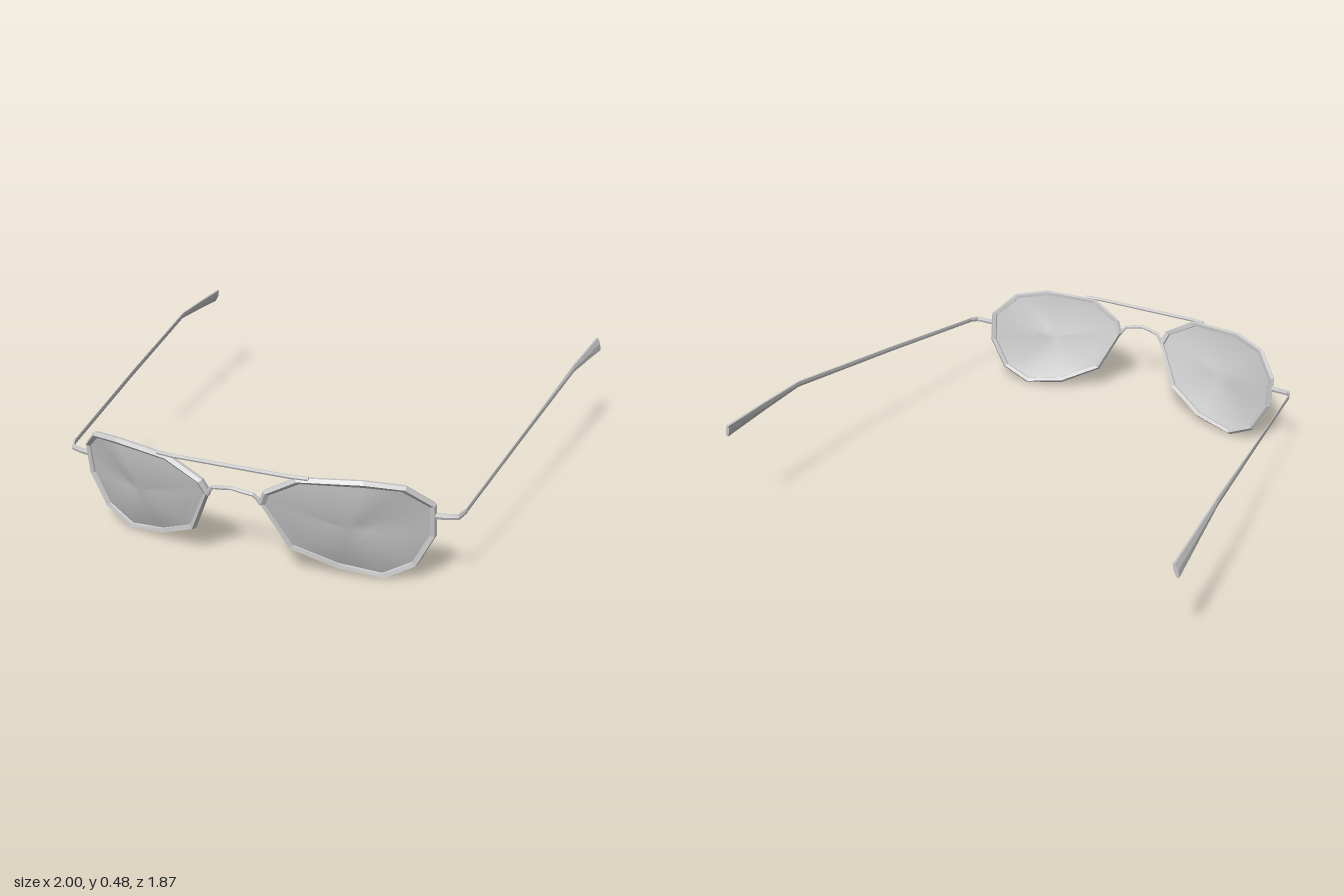
import * as THREE from 'three';

const V = (x, y, z) => new THREE.Vector3(x, y, z);

function material(flat) {
  return new THREE.MeshStandardMaterial({
    color: 0xcccccc, flatShading: flat, side: THREE.DoubleSide, roughness: 0.6,
  });
}

// Mesh from points and triangles; side = -1 mirrors it across x = 0.
function build(name, points, tris, side, flat) {
  const pos = points.flatMap((p) => [p.x * side, p.y, p.z]);
  const index = tris.flatMap(([a, b, c]) => (side > 0 ? [a, b, c] : [a, c, b]));
  let geo = new THREE.BufferGeometry();
  geo.setAttribute('position', new THREE.Float32BufferAttribute(pos, 3));
  geo.setIndex(index);
  if (flat) geo = geo.toNonIndexed();
  geo.computeVertexNormals();
  const mesh = new THREE.Mesh(geo, material(flat));
  mesh.name = name;
  return mesh;
}

// Skin a row of equal cross-sections, either as a closed ring or with capped ends.
function loft(name, sections, closed, side = 1) {
  const m = sections[0].length, n = sections.length, tris = [];
  for (let i = 0; i < (closed ? n : n - 1); i++) {
    const j = (i + 1) % n;
    for (let k = 0; k < m; k++) {
      const l = (k + 1) % m;
      tris.push([i * m + k, i * m + l, j * m + l], [i * m + k, j * m + l, j * m + k]);
    }
  }
  if (!closed) {
    const e = (n - 1) * m;
    for (let k = 1; k < m - 1; k++) tris.push([0, k + 1, k], [e, e + k, e + k + 1]);
  }
  return build(name, sections.flat(), tris, side, true);
}

// Six-sided wire; each stop is [x, y, z, width, height, tilt].
function wire(name, stops, side = 1) {
  const pts = stops.map((s) => V(s[0], s[1], s[2]));
  const sections = stops.map(([, , , w, h, tilt = 0], i) => {
    const a = pts[Math.max(i - 1, 0)], b = pts[Math.min(i + 1, pts.length - 1)];
    const t = b.clone().sub(a).normalize();
    const across = t.clone().cross(V(-tilt, 1, 0)).normalize();
    const up = across.clone().cross(t);
    return Array.from({ length: 6 }, (_, k) => {
      const ang = -k * Math.PI / 3;
      return pts[i].clone()
        .addScaledVector(across, Math.cos(ang) * w / 2)
        .addScaledVector(up, Math.sin(ang) * h / 2 / Math.sin(Math.PI / 3));
    });
  });
  return loft(name, sections, false, side);
}

// Rim corners, counter-clockwise seen from the front
const RIM = [
  [0.74, 0.35, 0.73], [0.65, 0.44, 0.81], [0.51, 0.465, 0.875], [0.26, 0.452, 0.92],
  [0.125, 0.37, 0.91], [0.102, 0.315, 0.895], [0.195, 0.12, 0.845], [0.37, 0.032, 0.775],
  [0.55, 0.006, 0.735], [0.67, 0.075, 0.715], [0.74, 0.215, 0.712],
].map((p) => V(...p));
const CENTRE = V(0.43, 0.25, 0.815);
const FACING = V(0.27, -0.33, 1).normalize();

function rim(side) {
  // [outward, forward] offsets of the bevelled rim section
  const profile = [[-0.009, 0.015], [0, 0], [-0.009, -0.015], [-0.026, -0.009], [-0.026, 0.009]];
  const sections = RIM.map((p) => {
    const out = p.clone().sub(CENTRE).normalize();
    return profile.map(([o, d]) => p.clone().addScaledVector(out, o).addScaledVector(FACING, d));
  });
  return loft('rim', sections, true, side);
}

// Gently domed lens made of concentric rings
function lens(side) {
  const rings = 5, n = RIM.length, dome = 0.03;
  const pts = [CENTRE.clone().addScaledVector(FACING, dome)], tris = [];
  for (let r = 1; r <= rings; r++) {
    const t = r / rings;
    for (let i = 0; i < n; i++) {
      pts.push(CENTRE.clone().lerp(RIM[i], t * 0.95).addScaledVector(FACING, dome * (1 - t * t)));
      const j = (i + 1) % n, a = 1 + (r - 1) * n;
      if (r === 1) tris.push([0, 1 + i, 1 + j]);
      else tris.push([a - n + i, a + i, a + j], [a - n + i, a + j, a - n + j]);
    }
  }
  return build('lens', pts, tris, side, false);
}

export function createModel() {
  const model = new THREE.Group();
  model.name = 'sunglasses';

  for (const side of [1, -1]) {
    const half = new THREE.Group();
    half.name = side > 0 ? 'leftHalf' : 'rightHalf';
    half.add(rim(side), lens(side));
    // Hinge arm turning from the rim to the temple
    half.add(wire('hinge', [
      [0.725, 0.3, 0.728, 0.018, 0.024], [0.77, 0.301, 0.724, 0.016, 0.022],
      [0.818, 0.305, 0.714, 0.016, 0.022], [0.836, 0.313, 0.67, 0.008, 0.022],
    ], side));
    // Temple with a widening, drooping tip
    half.add(wire('temple', [
      [0.832, 0.309, 0.69, 0.006, 0.02], [0.9, 0.394, 0.08, 0.006, 0.022],
      [0.962, 0.472, -0.51, 0.012, 0.026, 0.2], [0.976, 0.462, -0.72, 0.015, 0.042, 0.25],
      [0.989, 0.449, -0.935, 0.018, 0.06, 0.3],
    ], side));
    model.add(half);
  }

  // Straight bar across the top
  model.add(wire('browBar', [
    [-0.31, 0.455, 0.914, 0.014, 0.015], [-0.24, 0.455, 0.922, 0.014, 0.015],
    [0.24, 0.455, 0.922, 0.014, 0.015], [0.31, 0.455, 0.914, 0.014, 0.015],
  ]));

  // Arched nose bridge
  const arch = [[0.112, 0.305, 0.895], [0.1, 0.328, 0.9], [0.083, 0.347, 0.907], [0.04, 0.355, 0.914]];
  const path = [
    ...arch.map(([x, y, z]) => [-x, y, z]), [0, 0.362, 0.916], ...arch.slice().reverse(),
  ];
  model.add(wire('noseBridge', path.map((p) => [...p, 0.014, 0.014])));

  return model;
}
